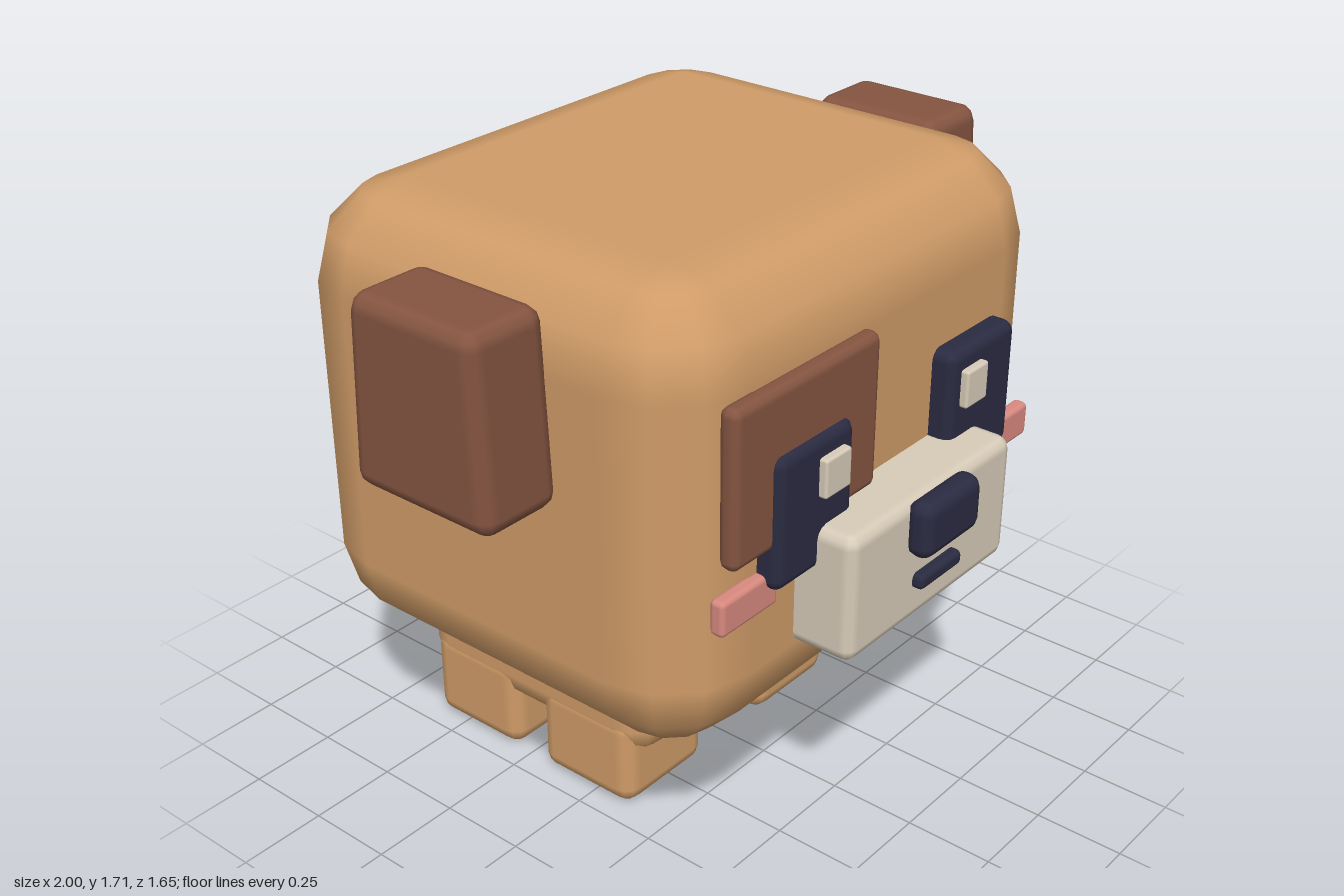
import * as THREE from 'three';

const material = (name, color) => {
  const m = new THREE.MeshStandardMaterial({ color });
  m.name = name;
  return m;
};

// Rounded box: a sphere grid pulled apart into eight corners, n segments per bevel
function roundedBox(w, h, d, r, n = 3) {
  const cols = 4 * (n + 1), rows = 2 * n + 3;
  const geo = new THREE.PlaneGeometry(1, 1, cols, rows);
  const pos = geo.attributes.position, nor = geo.attributes.normal;
  const cx = w / 2 - r, cy = h / 2 - r, cz = d / 2 - r;
  for (let i = 0; i < pos.count; i++) {
    const row = Math.floor(i / (cols + 1)), c = (i % (cols + 1)) % cols;
    const q = Math.floor(c / (n + 1));
    const a = (q + (c % (n + 1)) / n) * Math.PI / 2;
    const cap = row === 0 || row === rows;           // centre of top and bottom faces
    const k = THREE.MathUtils.clamp(row - 1, 0, 2 * n + 1);
    const top = k <= n;
    const p = ((top ? k : k - 1) / n) * Math.PI / 2;
    const nx = Math.sin(p) * Math.sin(a), ny = Math.cos(p), nz = Math.sin(p) * Math.cos(a);
    const sx = cap ? 0 : q < 2 ? 1 : -1;
    const sz = cap ? 0 : q === 0 || q === 3 ? 1 : -1;
    pos.setXYZ(i, sx * cx + nx * r, (top ? cy : -cy) + ny * r, sz * cz + nz * r);
    nor.setXYZ(i, nx, ny, nz);
  }
  return geo;
}

export function createModel() {
  const model = new THREE.Group();
  model.name = 'puppy';

  const tan = material('tan fur', 0xd09c68);
  const brown = material('brown fur', 0x855541);
  const navy = material('dark navy', 0x2b2b42);
  const cream = material('cream', 0xd8ccb9);
  const pink = material('pink', 0xd98a80);

  // Rounded box between two corners
  const box = (name, mat, [x0, x1], [y0, y1], [z0, z1], r) => {
    const mesh = new THREE.Mesh(roundedBox(x1 - x0, y1 - y0, z1 - z0, r), mat);
    mesh.position.set((x0 + x1) / 2, (y0 + y1) / 2, (z0 + z1) / 2);
    mesh.name = name;
    model.add(mesh);
    return mesh;
  };

  box('head', tan, [-0.77, 0.77], [0.45, 1.71], [-0.73, 0.6], 0.25);
  box('body', tan, [-0.445, 0.445], [0.15, 0.8], [-0.65, 0.18], 0.1);

  // Mirrored pairs
  for (const s of [-1, 1]) {
    const side = s > 0 ? 'left' : 'right';
    const span = (a, b) => (s > 0 ? [a, b] : [-b, -a]);

    // Ears narrow towards the top
    const ear = box(side + 'Ear', brown, span(0.755, 1), [1.135, 1.64], [-0.222, 0.228], 0.045);
    const p = ear.geometry.attributes.position;
    for (let i = 0; i < p.count; i++) {
      p.setZ(i, p.getZ(i) * (1 - 0.12 * (p.getY(i) / 0.505 + 0.5)));
    }

    box(side + 'FrontLeg', tan, span(0.12, 0.447), [0, 0.28], [-0.195, 0.135], 0.05);
    box(side + 'BackLeg', tan, span(0.12, 0.447), [0, 0.28], [-0.61, -0.285], 0.05);
    box(side + 'Eye', navy, span(0.205, 0.5), [0.935, 1.292], [0.57, 0.663], 0.03);
    box(side + 'Cheek', pink, span(0.45, 0.66), [0.88, 0.977], [0.585, 0.628], 0.014);
  }

  // Eye highlights, both shifted the same way within each eye
  box('rightEyeHighlight', cream, [-0.35, -0.25], [1.135, 1.24], [0.645, 0.685], 0.008);
  box('leftEyeHighlight', cream, [0.245, 0.34], [1.135, 1.24], [0.645, 0.685], 0.008);

  // Eye patch, muzzle, nose and mouth
  box('eyePatch', brown, [-0.635, -0.08], [1.045, 1.463], [0.585, 0.642], 0.025);
  box('muzzle', cream, [-0.35, 0.348], [0.7, 1.052], [0.5, 0.768], 0.035);
  box('nose', navy, [-0.122, 0.122], [0.903, 1.058], [0.75, 0.828], 0.035);
  box('mouth', navy, [-0.09, 0.09], [0.8, 0.842], [0.75, 0.798], 0.015);

  // Curled tail of three tilted blocks
  [[1.035, -0.755, 0.12], [0.907, -0.752, -0.28], [0.79, -0.705, -0.62]].forEach(([y, z, tilt], i) => {
    const block = box('tailBlock' + (i + 1), tan,
      [-0.066, 0.066], [y - 0.058, y + 0.058], [z - 0.065, z + 0.065], 0.022);
    block.rotation.x = tilt;
  });

  return model;
}
